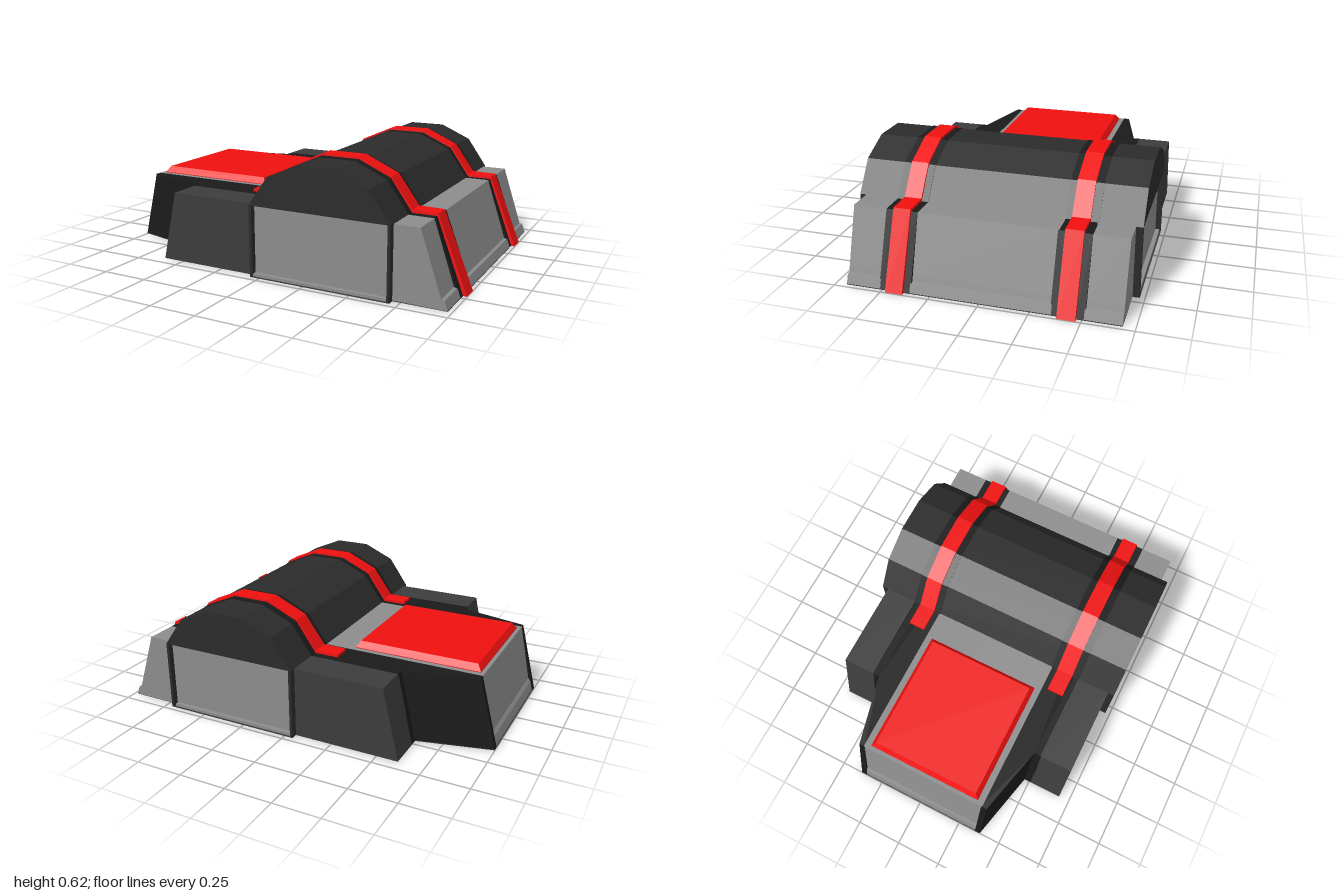
import * as THREE from 'three';
import { ConvexGeometry } from 'three/addons/geometries/ConvexGeometry.js';

const paint = (color) => new THREE.MeshStandardMaterial({ color, flatShading: true });
const grey = paint(0x8c8c8c);
const slate = paint(0x3c3c3c);
const dark = paint(0x2b2b2b);
const black = paint(0x1a1a1a);
const red = paint(0xf01010);

const shapeOf = (pts) => new THREE.Shape(pts.map(([x, y]) => new THREE.Vector2(x, y)));

export function createModel() {
  const model = new THREE.Group();
  const add = (name, geometry, material) => {
    const mesh = new THREE.Mesh(geometry, material);
    mesh.name = name;
    model.add(mesh);
  };
  // Side profile (x, y) extruded between two depths
  const prism = (name, pts, z0, z1, material) => {
    const g = new THREE.ExtrudeGeometry(shapeOf(pts), { depth: z1 - z0, bevelEnabled: false });
    add(name, g.translate(0, 0, z0), material);
  };
  // The same, once on each side
  const pair = (name, pts, z0, z1, material) => {
    prism(name + 'Left', pts, z0, z1, material);
    prism(name + 'Right', pts, -z1, -z0, material);
  };
  const rect = (x0, x1, y0, y1) => [[x0, y0], [x1, y0], [x1, y1], [x0, y1]];
  const convex = (name, pts, material) =>
    add(name, new ConvexGeometry(pts.map((p) => new THREE.Vector3(...p))), material);

  const B = 0.004, T = 0.375;
  // Stepped slope at the rear end
  const slope = [[0.98, B], [0.963, 0.05], [0.947, 0.055], [0.937, 0.085], [0.84, T]];

  // Central hull with a ledge at the foot of each end
  prism('centralHull', [[-0.995, B], ...slope, [-0.905, T], [-0.968, 0.075], [-0.982, 0.055]],
    -0.355, 0.355, grey);

  // Tapering cheeks beside the hull
  for (const s of [1, -1]) {
    convex(s > 0 ? 'cheekLeft' : 'cheekRight', [
      [-1, B, 0.35 * s], [-1, B, 0.38 * s], [-0.6, B, 0.475 * s], [0.98, B, 0.475 * s], [0.98, B, 0.35 * s],
      [-0.905, T, 0.35 * s], [-0.905, T, 0.382 * s], [-0.53, T, 0.475 * s], [0.84, T, 0.475 * s], [0.84, T, 0.35 * s],
    ], black);
  }
  pair('cheekEdge', [[-0.615, B], [0.98, B], [0.84, T], [-0.53, T]], 0.47, 0.515, black);

  // Side blocks in front of and behind the dome
  pair('sideBlock', [[-0.615, B], [-0.04, B], [-0.04, T], [-0.53, T]], 0.51, 0.69, slate);
  pair('rearBlock', [[0.7, B], ...slope, [0.7, T]], 0.51, 0.69, grey);

  // Framed panels under the dome
  pair('sidePanel', rect(-0.04, 0.7, B, T), 0.51, 0.695, grey);
  pair('panelSill', rect(-0.035, 0.69, B, 0.02), 0.69, 0.718, grey);
  pair('frontPost', rect(-0.05, -0.035, B, T), 0.51, 0.725, dark);
  pair('rearPost', rect(0.695, 0.71, B, T), 0.51, 0.725, dark);

  // Faceted dome with slightly raised bands
  const arch = [[-0.05, T], [0.71, T], [0.6, 0.53], [0.43, 0.605], [0.23, 0.605], [0.06, 0.53]];
  prism('dome', arch, -0.725, 0.725, dark);
  pair('domeBand', arch.map(([x, y]) => [0.33 + (x - 0.33) * 1.008, T + (y - T) * 1.01]), 0.35, 0.515, black);

  // Straps over the dome and down the rear slope
  pair('strap', [
    [-0.18, 0.39], [-0.055, 0.39], [0.055, 0.54], [0.23, 0.618], [0.43, 0.618], [0.605, 0.54],
    [0.715, 0.39], [0.845, 0.388], [1, 0.002],
    [0.97, 0.002], [0.83, 0.37], [0.7, 0.37], [0.595, 0.52], [0.43, 0.595], [0.23, 0.595],
    [0.065, 0.52], [-0.04, 0.37], [-0.18, 0.37],
  ], 0.385, 0.475, red);

  // Bevelled hatch on the front deck
  const hatch = [];
  for (const [y, inset] of [[0.37, 0], [0.378, 0], [0.41, 0.022]])
    for (const x of [-0.885 + inset, -0.205 - inset])
      for (const z of [-0.32 + inset, 0.32 - inset]) hatch.push([x, y, z]);
  convex('deckHatch', hatch, red);

  // Flat underside with a small hatch
  const half = [[-1, 0.38], [-0.615, 0.472], [-0.615, 0.69], [-0.05, 0.69], [-0.05, 0.725],
    [0.71, 0.725], [0.71, 0.69], [0.98, 0.69]];
  const outline = [...half, ...half.map(([x, z]) => [x, -z]).reverse()];
  const base = new THREE.ExtrudeGeometry(shapeOf(outline), { depth: 0.004, bevelEnabled: false });
  add('basePlate', base.rotateX(Math.PI / 2).translate(0, 0.006, 0), slate);
  add('bottomHatch', new THREE.BoxGeometry(0.38, 0.01, 0.18).translate(-0.41, 0.005, 0.05), red);

  return model;
}
